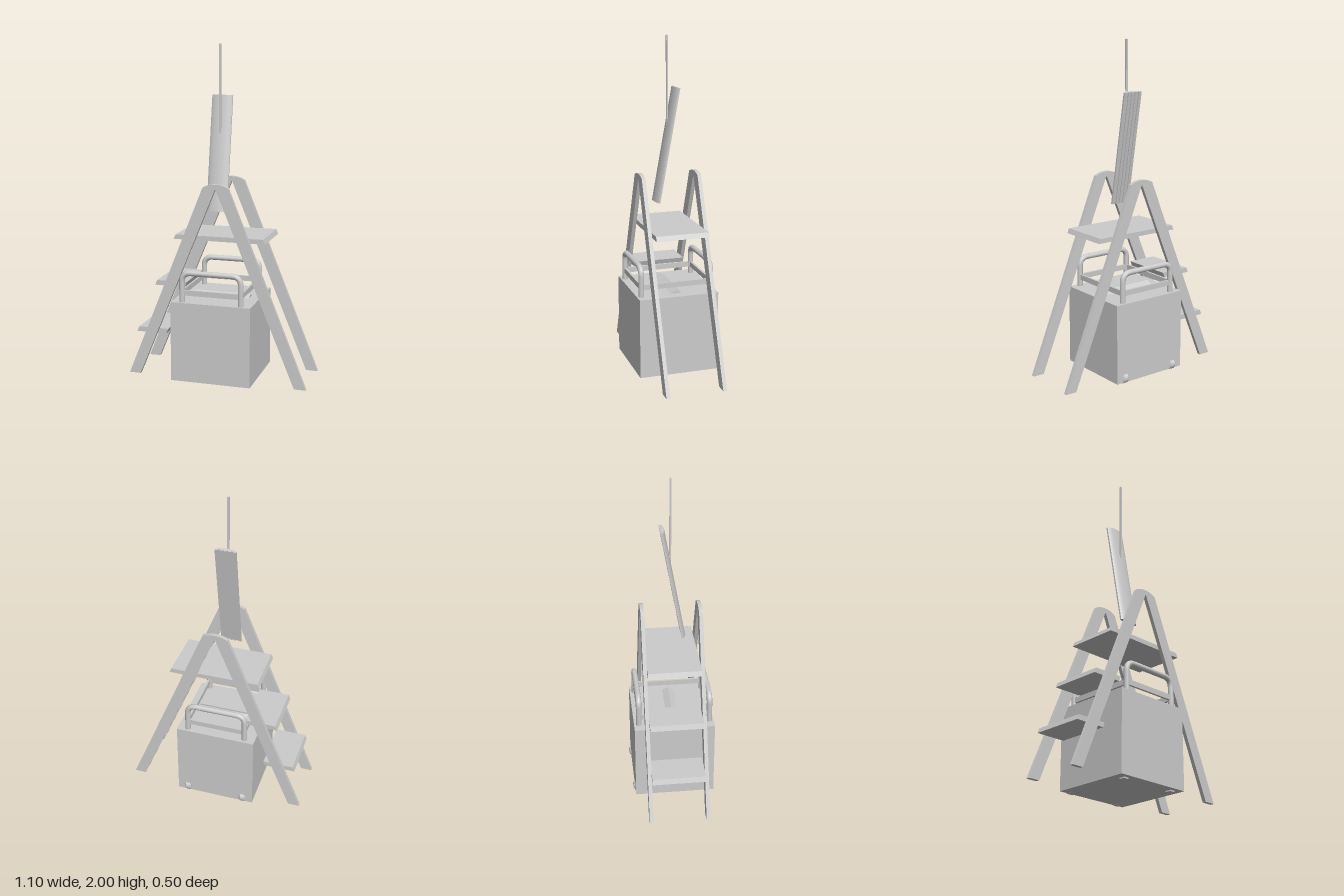
import * as THREE from 'three';
import { toCreasedNormals } from 'three/addons/utils/BufferGeometryUtils.js';

const material = new THREE.MeshStandardMaterial({ color: 0xcccccc });
const V = (x, y, z) => new THREE.Vector3(x, y, z);

function add(parent, name, geometry, x = 0, y = 0, z = 0) {
  const mesh = new THREE.Mesh(geometry, material);
  mesh.name = name;
  mesh.position.set(x, y, z);
  parent.add(mesh);
  return mesh;
}

function extrude(shape, depth) {
  const g = new THREE.ExtrudeGeometry(shape, { depth, bevelEnabled: false, curveSegments: 12 });
  return toCreasedNormals(g, 0.5);
}

const polygon = (points) => new THREE.Shape(points.map(([x, y]) => new THREE.Vector2(x, y)));

// A-frame side with a rounded crown
function ladderSide() {
  const s = new THREE.Shape();
  s.moveTo(-0.55, 0.01);
  s.lineTo(-0.48, 0.01);
  s.lineTo(-0.006, 1.16);
  s.quadraticCurveTo(0, 1.178, 0.006, 1.16);
  s.lineTo(0.48, 0.01);
  s.lineTo(0.55, 0.01);
  s.lineTo(0.077, 1.18);
  s.quadraticCurveTo(0.045, 1.2, 0, 1.2);
  s.quadraticCurveTo(-0.045, 1.2, -0.077, 1.18);
  s.closePath();
  return extrude(s, 0.023);
}

// Round-cornered carrying handle
function handleGeometry() {
  const l = -0.195, r = 0.165, top = 0.672, c = 0.055, base = 0.485;
  const path = new THREE.CurvePath();
  path.add(new THREE.LineCurve3(V(l, base, 0), V(l, top - c, 0)));
  path.add(new THREE.QuadraticBezierCurve3(V(l, top - c, 0), V(l, top, 0), V(l + c, top, 0)));
  path.add(new THREE.LineCurve3(V(l + c, top, 0), V(r - c, top, 0)));
  path.add(new THREE.QuadraticBezierCurve3(V(r - c, top, 0), V(r, top, 0), V(r, top - c, 0)));
  path.add(new THREE.LineCurve3(V(r, top - c, 0), V(r, base, 0)));
  return new THREE.TubeGeometry(path, 64, 0.017, 12);
}

// Slat with a bowed front and a grooved back
function slatGeometry() {
  const w = 0.063, back = 0.013, groove = 0.007, count = 4;
  const s = new THREE.Shape();
  s.moveTo(-w, 0.003);
  s.bezierCurveTo(-0.04, -0.018, 0.04, -0.018, w, 0.003);
  s.lineTo(w, back);
  for (let i = 0; i < count; i++) {
    const x = w - (i + 1) * 2 * w / (count + 1);
    s.lineTo(x + 0.005, back);
    s.lineTo(x + 0.005, groove);
    s.lineTo(x - 0.005, groove);
    s.lineTo(x - 0.005, back);
  }
  s.lineTo(-w, back);
  s.closePath();
  return extrude(s, 0.69).translate(0, 0, -0.345).rotateX(-Math.PI / 2);
}

// Small wheel with chamfered rims, axis along x
function wheelGeometry() {
  const profile = [[0, -0.021], [0.023, -0.021], [0.033, -0.013], [0.033, 0.013], [0.023, 0.021], [0, 0.021]];
  const g = new THREE.LatheGeometry(profile.map(([x, y]) => new THREE.Vector2(x, y)), 20);
  return toCreasedNormals(g.rotateZ(Math.PI / 2), 0.6);
}

export function createModel() {
  const model = new THREE.Group();

  // Stepladder
  const ladder = new THREE.Group();
  ladder.name = 'stepladder';
  model.add(ladder);
  for (const z of [0.165, -0.178]) add(ladder, 'ladderSide', ladderSide(), 0, 0, z);
  const depth = 0.32, slant = 0.012;
  for (const [left, y] of [[-0.505, 0.27], [-0.385, 0.57]]) {
    const step = polygon([[left, y], [left + 0.187, y], [left + 0.187 + slant, y + 0.03], [left + slant, y + 0.03]]);
    add(ladder, 'step', extrude(step, depth), 0, 0, -0.155);
  }
  const platform = polygon([[-0.265, 0.86], [0.294, 0.86], [0.282, 0.888], [-0.253, 0.888]]);
  add(ladder, 'topPlatform', extrude(platform, depth), 0, 0, -0.155);

  // Wheeled box
  const crate = new THREE.Group();
  crate.name = 'wheeledBox';
  model.add(crate);
  add(crate, 'boxBody', new THREE.BoxGeometry(0.488, 0.485, 0.486), -0.016, 0.2525, 0.005);
  const ridge = extrude(polygon([[-0.045, 0.49], [0.045, 0.49], [0, 0.515]]), 0.36);
  add(crate, 'lidRidge', ridge.rotateY(Math.PI / 2), -0.195, 0, 0.005);
  for (const z of [0.221, -0.208]) {
    add(crate, 'handle', handleGeometry(), 0, 0, z);
    add(crate, 'crossBar', new THREE.BoxGeometry(0.36, 0.032, 0.014), -0.015, 0.552, z);
  }
  for (const x of [-0.195, 0.165]) {
    add(crate, 'sideBar', new THREE.BoxGeometry(0.014, 0.032, 0.43), x, 0.552, 0.0065);
    add(crate, 'wheel', wheelGeometry(), x, 0.034, -0.218);
    add(crate, 'frontFoot', new THREE.BoxGeometry(0.035, 0.01, 0.035), x, 0.007, 0.2);
  }

  // Tilted slat with its hanging rod
  const slat = add(model, 'hangingSlat', slatGeometry(), -0.027, 1.36, 0.014);
  slat.rotation.x = -0.179;
  const rod = new THREE.BoxGeometry(0.012, 0.54, 0.012);
  const p = rod.attributes.position;
  for (let i = 0; i < p.count; i++) if (p.getY(i) < 0) p.setZ(i, p.getZ(i) * 0.5);
  rod.computeVertexNormals();
  add(model, 'hangingRod', rod, -0.026, 1.73, 0.002);

  return model;
}
